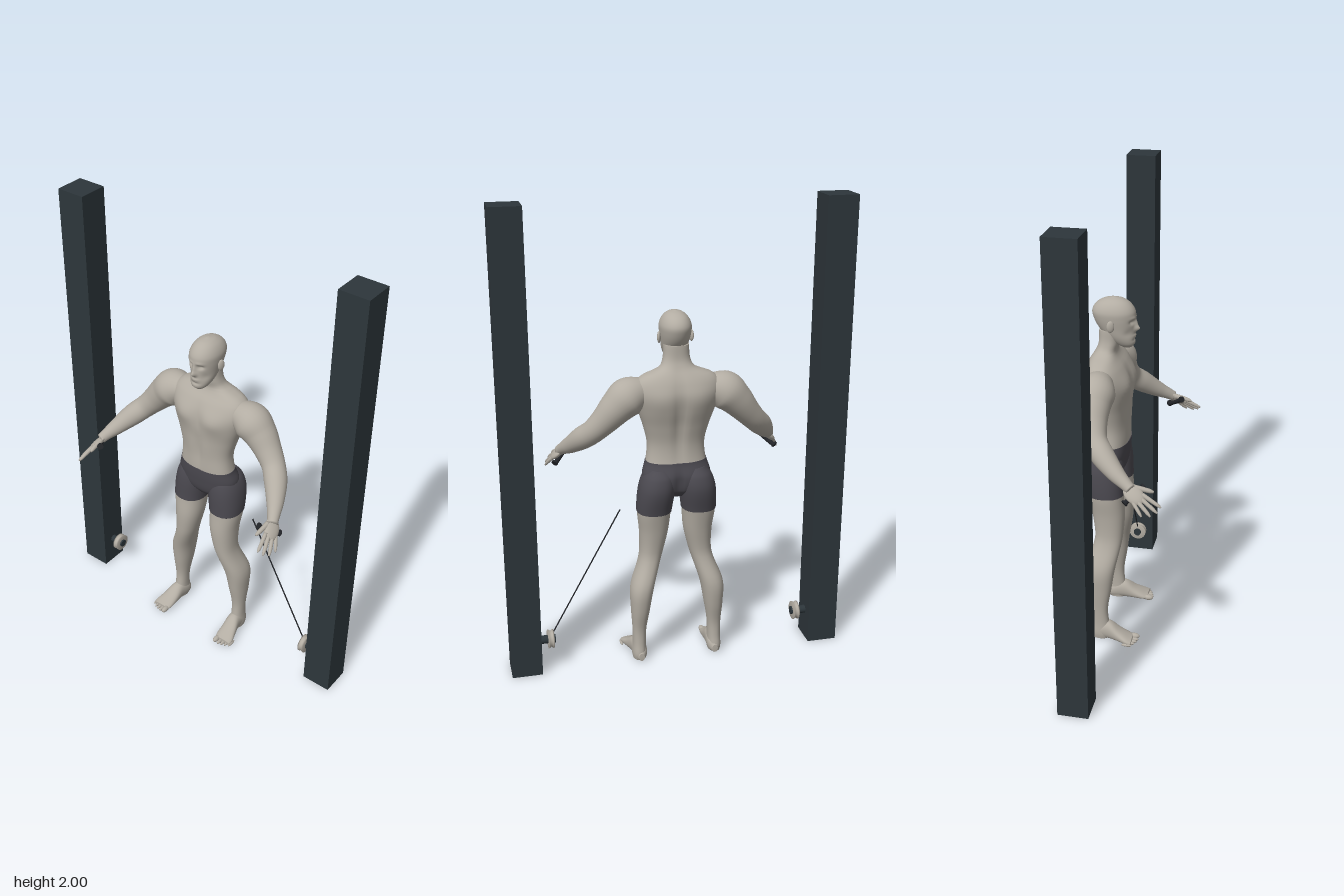
import * as THREE from 'three';

const V = (x, y, z) => new THREE.Vector3(x, y, z);
const material = (name, color) => {
  const m = new THREE.MeshStandardMaterial({ color });
  m.name = name;
  return m;
};

// Closed smooth surface through equal-sized rings, ends collapsed to a point
function skin(rings) {
  const m = rings[0].length;
  const centre = r => r.reduce((s, p) => s.add(p), V(0, 0, 0)).divideScalar(m);
  const all = [rings[0].map(() => centre(rings[0])), ...rings, rings[0].map(() => centre(rings.at(-1)))];
  const index = [];
  for (let i = 0; i < all.length - 1; i++) for (let j = 0; j < m; j++) {
    const a = i * m + j, b = i * m + (j + 1) % m;
    if (i > 0) index.push(a, b, a + m);
    if (i < all.length - 2) index.push(b, b + m, a + m);
  }
  const geo = new THREE.BufferGeometry().setFromPoints(all.flat());
  geo.setIndex(index);
  geo.computeVertexNormals();
  return geo;
}

// Cubic interpolation of section rows keyed by their first number
function sample(rows, key) {
  let i = 0;
  while (i < rows.length - 2 && key > rows[i + 1][0]) i++;
  const slope = (k, c) => {
    const a = rows[Math.max(k - 1, 0)], b = rows[Math.min(k + 1, rows.length - 1)];
    return (b[c] - a[c]) / (b[0] - a[0]);
  };
  const p = rows[i], q = rows[i + 1], h = q[0] - p[0], t = (key - p[0]) / h;
  return p.map((v, c) => v * (1 + 2 * t) * (1 - t) ** 2 + q[c] * t * t * (3 - 2 * t)
    + h * slope(i, c) * t * (1 - t) ** 2 + h * slope(i + 1, c) * t * t * (t - 1));
}

// Horizontal sections: [height, centre x, half width, front z, back z]
function stack(rows, from, to, { steps = 40, sides = 40, grow = 0, power = 0.9 } = {}) {
  const rings = [], bend = v => Math.sign(v) * Math.abs(v) ** power;
  for (let i = 0; i <= steps; i++) {
    const y = from + (to - from) * (0.5 - 0.5 * Math.cos(Math.PI * i / steps));
    const [, cx, rx, zf, zb] = sample(rows, y), ring = [];
    for (let j = 0; j < sides; j++) {
      const a = j / sides * Math.PI * 2;
      ring.push(V(cx + (rx + grow) * bend(Math.sin(a)), y,
        (zf + zb) / 2 + ((zf - zb) / 2 + grow) * bend(Math.cos(a))));
    }
    rings.push(ring);
  }
  return skin(rings);
}

// Round limb along a curve: [x, y, z, radius]
function limb(points, steps = 30, sides = 20) {
  const curve = new THREE.CatmullRomCurve3(points.map(p => V(p[0], p[1], p[2])));
  const rows = points.map((p, i) => [i / (points.length - 1), p[3]]);
  const rings = [];
  for (let i = 0; i <= steps; i++) {
    const t = i / steps, c = curve.getPoint(t), d = curve.getTangent(t), r = sample(rows, t)[1];
    const u = V(0, 1, 0).cross(d).normalize(), v = d.clone().cross(u);
    rings.push(Array.from({ length: sides }, (_, j) => {
      const a = j / sides * Math.PI * 2;
      return c.clone().addScaledVector(u, r * Math.cos(a)).addScaledVector(v, r * Math.sin(a));
    }));
  }
  return skin(rings);
}

// Soft bumps: [x, y, z, spread x, spread y, push in z], mirrored in x
function sculpt(geo, bumps) {
  const p = geo.attributes.position;
  for (let i = 0; i < p.count; i++) {
    const x = Math.abs(p.getX(i)), y = p.getY(i), z = p.getZ(i);
    let dz = 0;
    for (const [bx, by, bz, sx, sy, push] of bumps)
      dz += push * Math.exp(-(((x - bx) / sx) ** 2) - ((y - by) / sy) ** 2 - ((z - bz) / 0.06) ** 2);
    p.setZ(i, z + dz);
  }
  geo.computeVertexNormals();
  return geo;
}

function mirrored(geo) {
  const g = geo.clone().scale(-1, 1, 1), ix = g.index.array;
  for (let i = 0; i < ix.length; i += 3) [ix[i], ix[i + 1]] = [ix[i + 1], ix[i]];
  return g;
}

function rod(a, b, r, sides = 16) {
  const d = b.clone().sub(a), g = new THREE.CylinderGeometry(r, r, d.length(), sides);
  g.applyQuaternion(new THREE.Quaternion().setFromUnitVectors(V(0, 1, 0), d.clone().normalize()));
  const c = a.clone().add(b).multiplyScalar(0.5);
  return g.translate(c.x, c.y, c.z);
}

const TORSO = [
  [0.765, 0, 0.05, -0.06, -0.14], [0.8, 0, 0.125, -0.037, -0.175], [0.86, 0, 0.143, -0.025, -0.187],
  [0.92, 0, 0.128, -0.02, -0.168], [1.0, 0, 0.122, -0.022, -0.163], [1.08, 0, 0.14, -0.018, -0.178],
  [1.15, 0, 0.163, -0.012, -0.196], [1.22, 0, 0.182, -0.017, -0.205], [1.27, 0, 0.175, -0.038, -0.193],
  [1.3, 0, 0.142, -0.06, -0.178], [1.325, 0, 0.078, -0.07, -0.162], [1.36, 0, 0.057, -0.062, -0.148],
  [1.42, 0, 0.052, -0.055, -0.145]];
const LEG = [
  [0, 0.17, 0.026, -0.08, -0.155], [0.03, 0.17, 0.03, -0.07, -0.163], [0.08, 0.169, 0.028, -0.08, -0.157],
  [0.15, 0.168, 0.03, -0.085, -0.157], [0.25, 0.163, 0.041, -0.07, -0.178], [0.35, 0.154, 0.05, -0.055, -0.186],
  [0.45, 0.121, 0.047, -0.035, -0.158], [0.5, 0.108, 0.049, -0.028, -0.15], [0.6, 0.097, 0.061, -0.022, -0.163],
  [0.7, 0.097, 0.071, -0.028, -0.183], [0.8, 0.088, 0.074, -0.03, -0.204], [0.86, 0.08, 0.064, -0.04, -0.195],
  [0.895, 0.075, 0.04, -0.06, -0.17]];
const HEAD = [
  [1.345, 0, 0.02, -0.01, -0.05], [1.36, 0, 0.036, 0.003, -0.08], [1.39, 0, 0.05, 0.003, -0.115],
  [1.43, 0, 0.058, 0.003, -0.15], [1.47, 0, 0.064, 0.006, -0.17], [1.5, 0, 0.064, 0.004, -0.174],
  [1.53, 0, 0.05, -0.016, -0.155], [1.548, 0, 0.028, -0.045, -0.122], [1.555, 0, 0.004, -0.078, -0.09]];
// Foot sections run heel to toe; the last two numbers are sole and instep
const FOOT = [
  [-0.165, 0.166, 0.012, -0.005, -0.04], [-0.14, 0.167, 0.029, 0, -0.07], [-0.08, 0.17, 0.032, 0, -0.088],
  [-0.03, 0.177, 0.039, 0, -0.055], [0.01, 0.184, 0.044, 0, -0.033], [0.03, 0.186, 0.04, -0.003, -0.024]];
const ARM = [
  [0.13, 1.24, -0.11, 0.05], [0.2, 1.215, -0.115, 0.08], [0.25, 1.172, -0.115, 0.071],
  [0.3, 1.115, -0.105, 0.058], [0.345, 1.065, -0.085, 0.05], [0.385, 1.025, -0.045, 0.048],
  [0.43, 0.973, 0.02, 0.035], [0.452, 0.947, 0.06, 0.026], [0.465, 0.93, 0.085, 0.022]];

export function createModel() {
  const model = new THREE.Group();
  model.name = 'cableMachineFigure';
  const body = material('warm grey skin', 0xb3ada3), cloth = material('charcoal cloth', 0x4b4950);
  const steel = material('dark steel', 0x2d363b), grip = material('black grip', 0x232529);
  const add = (name, geo, mat) => {
    const mesh = new THREE.Mesh(geo, mat);
    mesh.name = name;
    model.add(mesh);
  };
  const pair = (name, geo, mat) => {
    add(name + 'Left', geo, mat);
    add(name + 'Right', mirrored(geo), mat);
  };

  // Torso with chest, belly and spine modelling
  add('torso', sculpt(stack(TORSO, 0.9, 1.42, { steps: 60, sides: 64, power: 0.85 }), [
    [0.075, 1.19, -0.02, 0.055, 0.045, 0.013], [0, 1.2, -0.01, 0.014, 0.06, -0.008],
    [0, 1.02, -0.02, 0.01, 0.08, -0.005], [0.04, 1.03, -0.02, 0.025, 0.09, 0.004],
    [0, 1.1, -0.19, 0.022, 0.16, 0.016], [0.08, 1.2, -0.2, 0.05, 0.06, -0.006]]), body);
  add('shortsWaist', sculpt(stack(TORSO, 0.765, 0.922, { grow: 0.003, sides: 64 }),
    [[0, 0.84, -0.19, 0.018, 0.05, 0.015]]), cloth);

  // Head with brow, eye sockets, nose, lips and chin
  add('head', sculpt(stack(HEAD, 1.345, 1.555, { steps: 70, sides: 120, power: 0.95 }), [
    [0, 1.425, 0.005, 0.011, 0.012, 0.018], [0, 1.445, 0.005, 0.008, 0.02, 0.01],
    [0.024, 1.458, 0, 0.013, 0.009, -0.011], [0.022, 1.474, 0, 0.018, 0.007, 0.004],
    [0, 1.394, 0.003, 0.018, 0.007, 0.007], [0, 1.393, 0.003, 0.016, 0.002, -0.004],
    [0, 1.378, 0.003, 0.02, 0.006, -0.004], [0.04, 1.41, -0.01, 0.015, 0.018, -0.006]]), body);
  pair('ear', new THREE.SphereGeometry(1, 16, 12).scale(0.008, 0.025, 0.016).rotateY(-0.35)
    .translate(0.067, 1.447, -0.085), body);

  // Legs, shorts and feet
  pair('leg', stack(LEG, 0.005, 0.72, { steps: 50 }), body);
  pair('shortsLeg', stack(LEG, 0.7, 0.895, { grow: 0.003 }), cloth);
  pair('foot', stack(FOOT, -0.165, 0.03, { steps: 24, sides: 28 }).rotateX(Math.PI / 2), body);
  for (let i = 0; i < 5; i++) {
    const r = i ? 0.009 - i * 0.0005 : 0.013;
    pair('toe' + (i + 1), new THREE.SphereGeometry(1, 12, 10).scale(r, r, 0.024)
      .translate(0.156 + i * 0.0165 + (i ? 0.003 : 0), r, 0.034 - i * i * 0.0014), body);
  }

  // Arms, then hands in a frame of finger, thumb-side and palm directions
  pair('arm', limb(ARM, 44, 28), body);
  const d = V(0.05, -0.07, 0.1).normalize(), n = d.clone().cross(V(-0.07, 0.06, 0.07)).normalize();
  const w = n.clone().cross(d), palm = V(0.471, 0.915, 0.098);
  const at = (a, b, c = 0) => palm.clone().addScaledVector(d, a).addScaledVector(w, b).addScaledVector(n, c);
  pair('palm', new THREE.SphereGeometry(1, 24, 16).scale(0.05, 0.035, 0.015)
    .applyMatrix4(new THREE.Matrix4().makeBasis(d, w, n).setPosition(palm)), body);
  const finger = (name, a0, b0, a1, b1, r) => {
    const p = [0, 0.4, 0.8, 1].map((t, i) => [...at(a0 + (a1 - a0) * t, b0 + (b1 - b0) * t, 0.006 * t * t).toArray(),
      r * [1, 0.95, 0.8, 0.4][i]]);
    pair(name, limb(p, 12, 12), body);
  };
  finger('indexFinger', 0.025, 0.024, 0.11, 0.044, 0.009);
  finger('middleFinger', 0.03, 0.009, 0.117, 0.018, 0.009);
  finger('ringFinger', 0.028, -0.008, 0.11, -0.011, 0.009);
  finger('littleFinger', 0.02, -0.023, 0.087, -0.037, 0.008);
  finger('thumb', -0.02, 0.02, 0.045, 0.065, 0.011);

  // Handle held against the palm
  pair('handle', rod(at(0, -0.052, 0.018), at(0, 0.054, 0.018), 0.01), grip);
  for (const b of [-0.052, 0.048])
    pair('handleEnd', rod(at(0, b, 0.015), at(0, b + 0.008, 0.015), 0.014), grip);

  // Posts, grooved pulleys and the cable
  pair('post', new THREE.BoxGeometry(0.13, 2, 0.13).translate(0.667, 1, -0.1), steel);
  pair('pulleyAxle', rod(V(0.535, 0.132, -0.1), V(0.605, 0.132, -0.1), 0.018, 24), steel);
  const rim = [[0.016, -0.013], [0.04, -0.013], [0.04, -0.007], [0.034, 0], [0.04, 0.007], [0.04, 0.013], [0.016, 0.013]];
  const wheel = new THREE.LatheGeometry(rim.map(p => new THREE.Vector2(...p)), 32);
  pair('pulleyWheel', wheel.rotateZ(Math.PI / 2).translate(0.555, 0.132, -0.1), body);
  add('cable', rod(V(0.242, 0.71, -0.1), V(0.548, 0.155, -0.1), 0.003, 8), grip);
  return model;
}
